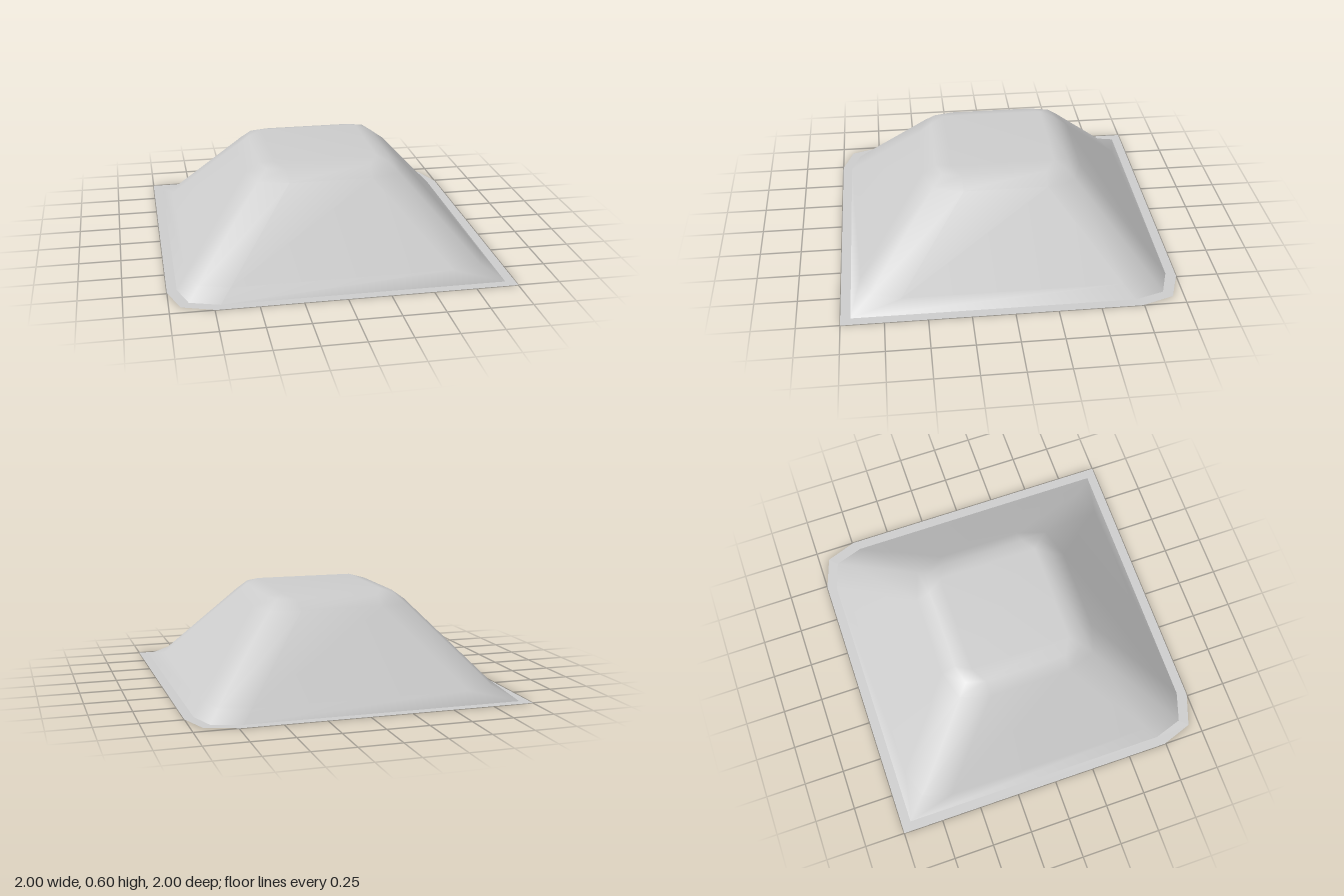
import * as THREE from 'three';
import { mergeVertices } from 'three/addons/utils/BufferGeometryUtils.js';

// Four corners, each given by edge reach e, end of the straight a and bevel midpoint m.
// Even corners are +x+z and -x-z; odd corners are +x-z and -x+z.
function ring(y, even, odd = even) {
  const points = [];
  for (let c = 0; c < 4; c++) {
    const [e, a, m] = c % 2 ? odd : even;
    for (let [x, z] of [[a, e], [m, m], [e, a]]) {
      for (let k = 0; k < c; k++) [x, z] = [z, -x];
      points.push(new THREE.Vector3(x, y, z));
    }
  }
  return points;
}

function moundGeometry() {
  const rings = [
    ring(0, [0.942, 0.942, 0.942], [0.942, 0.712, 0.886]), // two sharp corners, two bevelled
    ring(0.07, [0.88, 0.65, 0.825]),
    ring(0.52, [0.482, 0.25, 0.427]),
    ring(0.578, [0.4, 0.255, 0.37]),
    ring(0.6, [0.31, 0.31, 0.31]),
  ];
  const positions = [];
  const triangle = new THREE.Triangle();
  const add = (a, b, c) => {
    // skip triangles collapsed at a sharp corner
    if (triangle.set(a, b, c).getArea() < 1e-7) return;
    for (const p of [a, b, c]) positions.push(p.x, p.y, p.z);
  };
  for (let r = 0; r < rings.length - 1; r++) {
    const lo = rings[r], up = rings[r + 1];
    for (let i = 0; i < 12; i++) {
      const j = (i + 1) % 12;
      add(lo[i], lo[j], up[j]);
      add(lo[i], up[j], up[i]);
    }
  }
  // flat top
  const top = rings[rings.length - 1];
  add(top[1], top[4], top[7]);
  add(top[1], top[7], top[10]);

  const geometry = new THREE.BufferGeometry();
  geometry.setAttribute('position', new THREE.Float32BufferAttribute(positions, 3));
  const merged = mergeVertices(geometry, 1e-4);
  merged.computeVertexNormals();
  return merged;
}

export function createModel() {
  const group = new THREE.Group();
  const material = new THREE.MeshStandardMaterial({ color: 0xcccccc, side: THREE.DoubleSide });

  // Rounded truncated pyramid
  const mound = new THREE.Mesh(moundGeometry(), material);
  mound.name = 'mound';
  group.add(mound);

  // Paper-thin base sheet with the same corner pattern
  const outline = ring(0, [1, 1, 1], [1, 0.742, 0.934]).map((p) => new THREE.Vector2(p.x, -p.z));
  const shape = new THREE.Shape(outline.filter((p, i) => !i || p.distanceTo(outline[i - 1]) > 1e-4));
  const sheet = new THREE.Mesh(new THREE.ShapeGeometry(shape).rotateX(-Math.PI / 2), material);
  sheet.name = 'baseSheet';
  group.add(sheet);

  return group;
}
